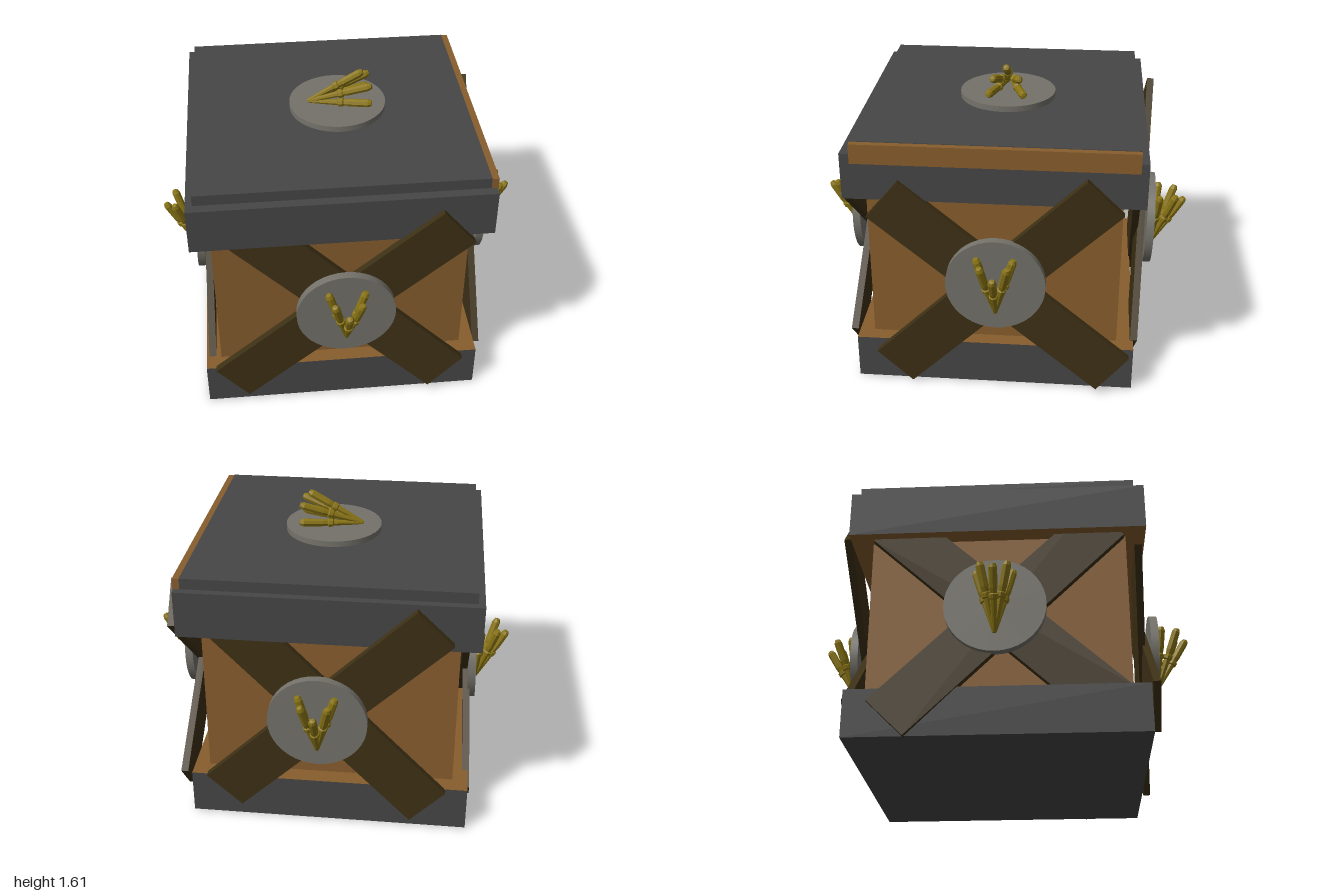
import * as THREE from 'three';

const mat = (color, flat = false) => new THREE.MeshStandardMaterial({ color, flatShading: flat });

export function createModel() {
  const root = new THREE.Group();
  const metal = mat(0x464646), wood = mat(0x875d2d), plankMat = mat(0x3d3015);
  const stone = mat(0x74726a), gold = mat(0x8a7515, true);

  // Box given by its min and max corners
  function box(name, a, b, material) {
    const size = a.map((v, i) => b[i] - v);
    const m = new THREE.Mesh(new THREE.BoxGeometry(...size), material);
    m.position.set(...a.map((v, i) => (v + b[i]) / 2));
    m.name = name;
    root.add(m);
  }

  // Crate: metal base and lid with wooden inner faces, wooden body between
  box('base', [-0.78, 0, -0.75], [0.69, 0.245, 0.725], [metal, metal, wood, metal, metal, metal]);
  box('body', [-0.70, 0.24, -0.66], [0.61, 1.1, 0.645], wood);
  box('lid', [-0.80, 1.095, -0.77], [0.714, 1.34, 0.745], [metal, metal, metal, wood, metal, metal]);
  box('lidPanel', [-0.765, 1.33, -0.73], [0.685, 1.397, 0.695], metal);
  box('lidEdgeStrip', [0.683, 1.29, -0.73], [0.72, 1.394, 0.695], wood);

  // Finger: thin bone, knuckle ring and thicker rounded end
  const fingerGeo = new THREE.LatheGeometry([
    [0, 0], [0.010, 0.005], [0.017, 0.16], [0.024, 0.165], [0.024, 0.185], [0.017, 0.19],
    [0.021, 0.215], [0.022, 0.315], [0.014, 0.333], [0, 0.335],
  ].map(([x, y]) => new THREE.Vector2(x, y)), 8);
  const up = new THREE.Vector3(0, 1, 0);

  // Hand pointing along +y, with its fingers fanned out in a half circle toward +z
  function makeHand() {
    const hand = new THREE.Group();
    hand.name = 'hand';
    const wrist = new THREE.Vector3(0, -0.16, 0.01);
    for (const [x, y, z] of [[0, 0.135, 0.175], [0.07, 0.175, 0.125], [-0.07, 0.175, 0.125],
      [0.095, 0.175, 0.035], [-0.095, 0.175, 0.035]]) {
      const dir = new THREE.Vector3(x, y, z).sub(wrist);
      const f = new THREE.Mesh(fingerGeo, gold);
      f.name = 'finger';
      f.position.copy(wrist);
      f.scale.y = dir.length() / 0.335;
      f.quaternion.setFromUnitVectors(up, dir.normalize());
      hand.add(f);
    }
    return hand;
  }

  // Round plate carrying a hand
  function addEmblem(parent, u, y, d, tilt = 0) {
    const emblem = new THREE.Group();
    emblem.name = 'emblem';
    const plate = new THREE.Mesh(new THREE.CylinderGeometry(0.255, 0.255, 0.042, 40), stone);
    plate.rotation.x = Math.PI / 2;
    plate.name = 'roundPlate';
    const hand = makeHand();
    hand.position.z = 0.015;
    emblem.add(plate, hand);
    emblem.position.set(u, y, d);
    emblem.rotation.x = tilt;
    parent.add(emblem);
  }

  // Sides: each has two crossed planks [u, y, depth, angle, tilt] and an emblem
  const sides = [
    { name: 'frontSide', turn: 0, emblem: [-0.035, 0.68, 0.802, 0.02],
      planks: [[-0.055, 0.67, 0.757, 0.70, 0], [-0.03, 0.69, 0.735, -0.785, -0.05]] },
    { name: 'leftSide', turn: Math.PI / 2, emblem: [0.03, 0.68, 0.785, 0.02],
      planks: [[0.025, 0.64, 0.74, 0.785, 0.055], [0.05, 0.62, 0.73, -0.69, -0.02]] },
    { name: 'backSide', turn: Math.PI, emblem: [0, 0.68, 0.825, 0.02],
      planks: [[0.03, 0.70, 0.78, 0.785, 0.06], [0.03, 0.69, 0.745, -0.785, -0.04]] },
    { name: 'rightSide', turn: -Math.PI / 2, emblem: [-0.02, 0.67, 0.78, -0.03],
      planks: [[0, 0.63, 0.752, 0.785, -0.05], [0, 0.66, 0.738, -0.75, -0.02]] },
  ];
  const plankGeo = new THREE.BoxGeometry(1.535, 0.26, 0.038);
  for (const s of sides) {
    const side = new THREE.Group();
    side.name = s.name;
    side.rotation.y = s.turn;
    for (const [u, y, d, angle, tilt] of s.planks) {
      const plank = new THREE.Mesh(plankGeo, plankMat);
      plank.name = 'crossPlank';
      plank.position.set(u, y, d);
      plank.rotation.set(tilt, 0, angle);
      side.add(plank);
    }
    addEmblem(side, ...s.emblem);
    root.add(side);
  }

  // Emblem on the lid, hand pointing to +x
  const top = new THREE.Group();
  top.name = 'topSide';
  top.quaternion.setFromRotationMatrix(new THREE.Matrix4().makeBasis(
    new THREE.Vector3(0, 0, 1), new THREE.Vector3(1, 0, 0), new THREE.Vector3(0, 1, 0)));
  addEmblem(top, -0.03, 0, 1.407);
  root.add(top);

  return root;
}
